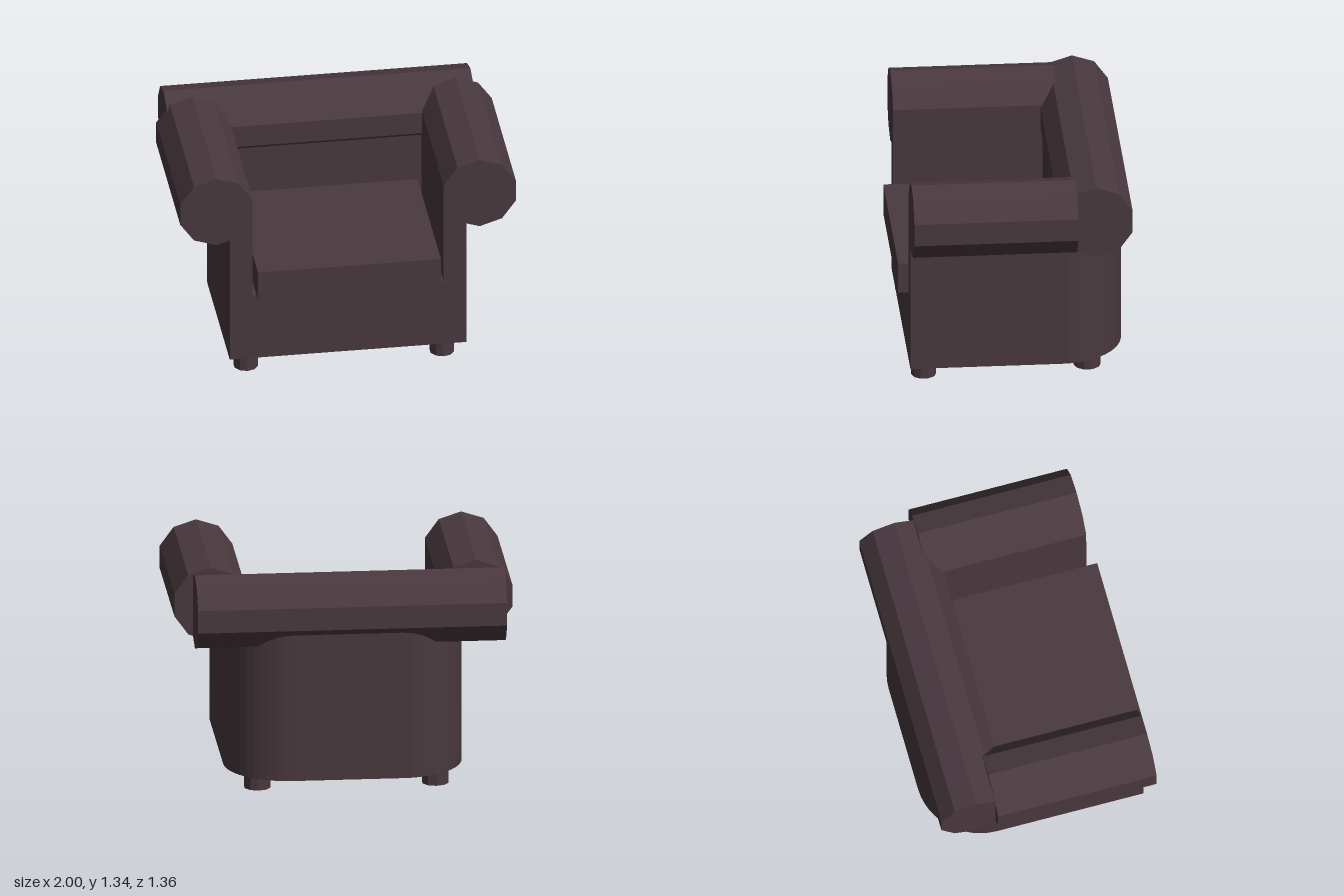
import * as THREE from 'three';

const W = 0.705, FRONT = 0.62, BACK = -0.655, R = 0.38; // body footprint and rear corner radius
const INNER_W = 0.57, INNER_BACK = -0.265;              // seat opening
const BOTTOM = 0.095, SEAT = 0.52;

const upholstery = new THREE.MeshStandardMaterial({ color: 0x49393f, flatShading: true });

function part(name, geometry, x = 0, y = 0, z = 0) {
  const mesh = new THREE.Mesh(geometry, upholstery);
  mesh.name = name;
  mesh.position.set(x, y, z);
  return mesh;
}

// Footprint with rounded rear corners (shape y is -z); open gives the U of arms and back
function footprint(open) {
  const s = new THREE.Shape();
  s.moveTo(W, -FRONT);
  s.lineTo(W, -BACK - R);
  s.absarc(W - R, -BACK - R, R, 0, Math.PI / 2, false);
  s.lineTo(R - W, -BACK);
  s.absarc(R - W, -BACK - R, R, Math.PI / 2, Math.PI, false);
  s.lineTo(-W, -FRONT);
  if (open) {
    s.lineTo(-INNER_W, -FRONT);
    s.lineTo(-INNER_W, -INNER_BACK);
    s.lineTo(INNER_W, -INNER_BACK);
    s.lineTo(INNER_W, -FRONT);
  }
  return s;
}

function slab(open, height) {
  return new THREE.ExtrudeGeometry(footprint(open), { depth: height, bevelEnabled: false, curveSegments: 6 })
    .rotateX(-Math.PI / 2);
}

// Ten-sided bolster lying along z, points up and down
function bolster(radius, length) {
  return new THREE.CylinderGeometry(radius, radius, length, 10).rotateX(Math.PI / 2);
}

export function createModel() {
  const chair = new THREE.Group();
  chair.name = 'armchair';

  // Body
  chair.add(part('seatBase', slab(false, SEAT - BOTTOM), 0, BOTTOM, 0));
  chair.add(part('armsAndBackWall', slab(true, 1.06 - SEAT), 0, SEAT, 0));

  // Cushion
  const cushionDepth = 0.68 - INNER_BACK;
  chair.add(part('seatCushion', new THREE.BoxGeometry(1.09, 0.19, cushionDepth),
    0, 0.615, 0.68 - cushionDepth / 2));

  // Rolled arms and back
  for (const [side, name] of [[1, 'leftArmRoll'], [-1, 'rightArmRoll']]) {
    chair.add(part(name, bolster(0.226, 0.97), side * 0.785, side > 0 ? 1.105 : 1.11, 0.135));
  }
  chair.add(part('backRoll', bolster(0.225, 1.83).rotateY(Math.PI / 2), -0.025, 1.097, -0.466));

  // Feet
  const feet = [
    ['frontLeftFoot', 0.572, 0.532, 0.074], ['frontRightFoot', -0.597, 0.532, 0.074],
    ['backLeftFoot', 0.518, -0.44, 0.08], ['backRightFoot', -0.535, -0.44, 0.08],
  ];
  for (const [name, x, z, r] of feet) {
    chair.add(part(name, new THREE.CylinderGeometry(r, r, 0.1, 10), x, 0.05, z));
  }
  return chair;
}
